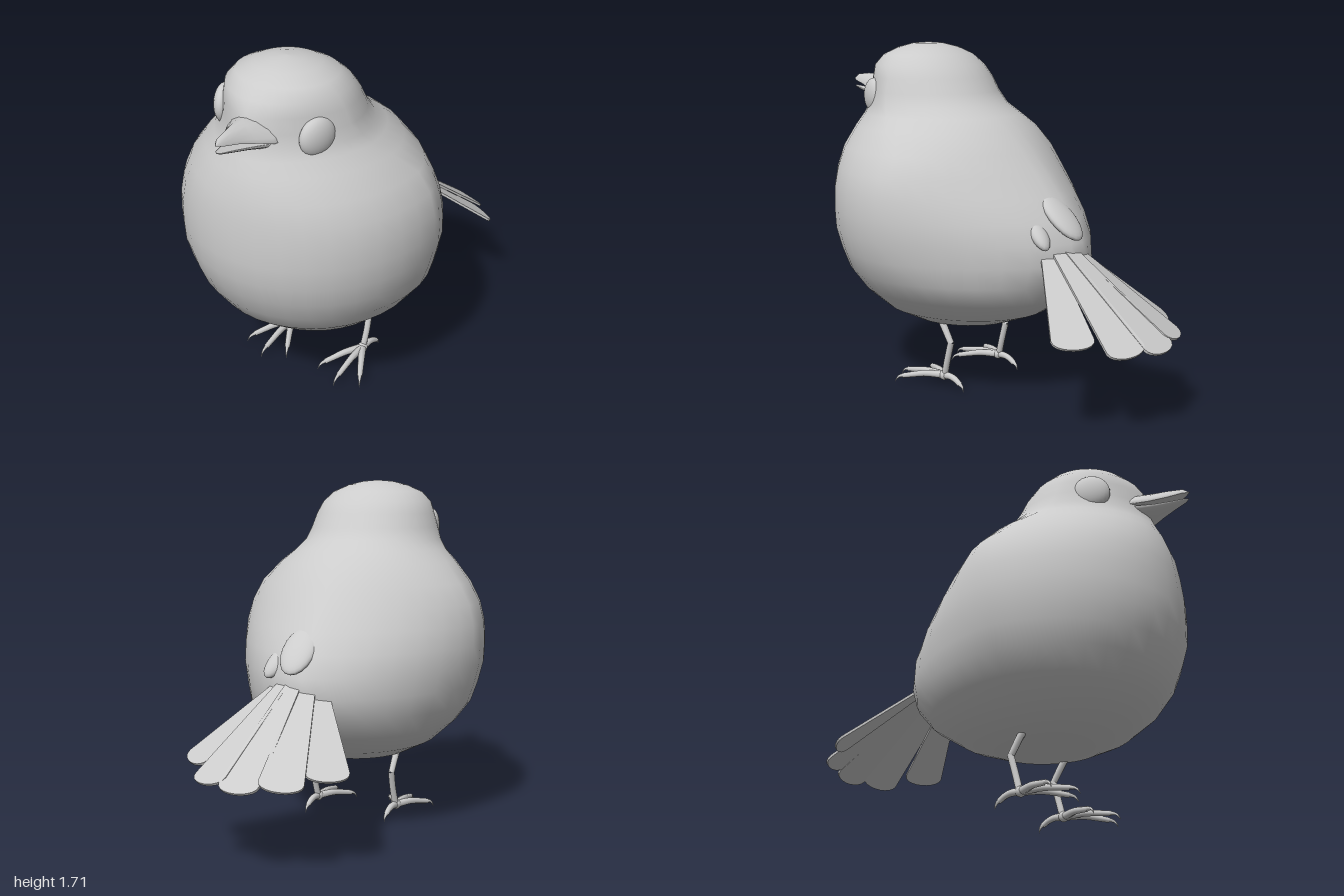
import * as THREE from 'three';

const material = new THREE.MeshStandardMaterial({ color: 0xcccccc });
const thin = new THREE.MeshStandardMaterial({ color: 0xcccccc, side: THREE.DoubleSide });
const V = (x, y, z) => new THREE.Vector3(x, y, z);

function add(parent, name, geometry, mat = material) {
  const mesh = new THREE.Mesh(geometry, mat);
  mesh.name = name;
  parent.add(mesh);
  return mesh;
}

// Skin closed rings of points; rings run counter-clockwise seen from the far end.
function loft(rings) {
  const n = rings[0].length, index = [];
  for (let r = 0; r < rings.length - 1; r++) {
    for (let i = 0; i < n; i++) {
      const j = (i + 1) % n, a = r * n, b = a + n;
      index.push(a + i, a + j, b + i, a + j, b + j, b + i);
    }
  }
  const g = new THREE.BufferGeometry().setFromPoints(rings.flat());
  g.setIndex(index);
  g.computeVertexNormals();
  return g;
}

// Tube along points whose radius runs from r0 to r1.
function taperTube(points, r0, r1, steps = 10, sides = 8) {
  const curve = new THREE.CatmullRomCurve3(points, false, 'centripetal');
  const g = new THREE.TubeGeometry(curve, steps, 1, sides);
  const p = g.attributes.position, v = V(0, 0, 0);
  for (let i = 0; i < p.count; i++) {
    const t = Math.floor(i / (sides + 1)) / steps, c = curve.getPointAt(t);
    v.fromBufferAttribute(p, i).sub(c).multiplyScalar(r0 + (r1 - r0) * t).add(c);
    p.setXYZ(i, v.x, v.y, v.z);
  }
  return g;
}

// Body and head: horizontal slices of height, half width, front z, back z.
function bodyGeometry() {
  const slices = [
    [0.31, 0.001, 0.251, 0.249], [0.316, 0.13, 0.38, 0.1], [0.335, 0.25, 0.48, -0.05],
    [0.4, 0.38, 0.64, -0.22], [0.5, 0.49, 0.765, -0.37], [0.6, 0.565, 0.835, -0.46],
    [0.7, 0.6, 0.875, -0.5], [0.8, 0.625, 0.905, -0.49], [0.9, 0.63, 0.91, -0.44],
    [1.0, 0.625, 0.91, -0.365], [1.1, 0.6, 0.9, -0.285], [1.2, 0.545, 0.885, -0.2],
    [1.3, 0.455, 0.85, -0.11], [1.36, 0.39, 0.82, -0.03], [1.41, 0.355, 0.8, 0.05],
    [1.47, 0.335, 0.79, 0.1], [1.54, 0.312, 0.78, 0.14], [1.6, 0.285, 0.745, 0.19],
    [1.65, 0.235, 0.69, 0.25], [1.685, 0.155, 0.62, 0.32], [1.705, 0.075, 0.55, 0.4],
    [1.71, 0.001, 0.471, 0.469],
  ];
  const sides = 36;
  return loft(slices.map(([y, w, front, back]) => {
    const head = THREE.MathUtils.smoothstep(y, 1.15, 1.47);
    const crown = THREE.MathUtils.smoothstep(y, 1.5, 1.66);
    const rump = 1 - THREE.MathUtils.smoothstep(y, 1.1, 1.4);
    const belly = THREE.MathUtils.smoothstep(y, 0.4, 0.75);
    const zc = 0.25 + 0.2 * head + 0.02 * crown;
    const ring = [];
    for (let i = 0; i < sides; i++) {
      const a = (i / sides) * Math.PI * 2, s = Math.sin(a), c = Math.cos(a);
      // The rump and the face are more pointed than an ellipse.
      const n = c > 0 ? 2 - 0.45 * head * (1 - crown) : 2 - 0.45 * rump * belly;
      const x = w * Math.sign(s) * Math.abs(s) ** (2 / n);
      const k = Math.abs(c) ** (2 / n);
      ring.push(V(x, y, c > 0 ? zc + (front - zc) * k : zc + (back - zc) * k));
    }
    return ring;
  }));
}

// Beak half: sections of z, half width, top y, edge y, bottom y.
function beakGeometry(sections) {
  return loft(sections.map(([z, w, top, edge, bottom]) =>
    Array.from({ length: 16 }, (_, i) => {
      const a = (i / 16) * Math.PI * 2, s = Math.sin(a);
      const rise = s > 0 ? (top - edge) * s ** 1.5 : (bottom - edge) * -s;
      return V(w * Math.cos(a) + 0.03 * (z - 0.7), edge + rise, z);
    })));
}

// Tail feather: tapered thin blade with a rounded end.
function featherGeometry(root, tip, across, halfWidth) {
  const d = tip.clone().sub(root), len = d.length();
  d.normalize();
  const side = across.clone().addScaledVector(d, -across.dot(d)).normalize();
  const normal = side.clone().cross(d);
  const cap = halfWidth * 0.6;
  const shape = new THREE.Shape();
  shape.moveTo(-0.035, 0);
  shape.lineTo(-halfWidth, len - cap);
  shape.bezierCurveTo(-halfWidth, len + 0.01, halfWidth, len + 0.01, halfWidth, len - cap);
  shape.lineTo(0.035, 0);
  const g = new THREE.ExtrudeGeometry(shape, { depth: 0.012, bevelEnabled: false, curveSegments: 10 });
  g.applyMatrix4(new THREE.Matrix4().makeBasis(side, d, normal).setPosition(root));
  return g;
}

function createLeg(x, name) {
  const leg = new THREE.Group();
  leg.name = name;
  add(leg, 'thigh', taperTube([V(0, 0.37, 0.22), V(0.003, 0.3, 0.175), V(0.006, 0.235, 0.135)], 0.019, 0.016));
  add(leg, 'shin', taperTube([V(0.006, 0.245, 0.135), V(0.006, 0.15, 0.16), V(0, 0.06, 0.185)], 0.017, 0.017));
  add(leg, 'ankle', new THREE.SphereGeometry(0.026, 12, 8)).position.set(0, 0.06, 0.19);
  // Three toes forward and one back, each ending in a claw.
  for (const [tx, tz] of [[-0.11, 0.37], [0.005, 0.43], [0.1, 0.38], [0.01, 0.075]]) {
    const dz = tz - 0.19, at = (t, y) => V(tx * t, y, 0.19 + dz * t);
    const end = tz < 0.19 ? 0.035 : 0.042;
    add(leg, 'toe', taperTube([at(0, 0.06), at(0.45, 0.062), at(0.75, 0.052), at(1, end)], 0.02, 0.013));
    add(leg, 'claw', taperTube([at(0.95, end + 0.004), at(1.12, end - 0.008), at(1.2, end - 0.034)], 0.012, 0.001, 6, 6));
  }
  leg.position.x = x;
  return leg;
}

export function createModel() {
  const bird = new THREE.Group();
  bird.name = 'bird';
  add(bird, 'body', bodyGeometry());

  // Eyes: flattened spheres turned slightly forward, the head a little tilted.
  for (const [name, side, x, y, z] of [['leftEye', 1, 0.247, 1.445, 0.615], ['rightEye', -1, -0.252, 1.475, 0.6]]) {
    const eye = add(bird, name, new THREE.SphereGeometry(0.09, 24, 16));
    eye.scale.set(0.5, 1, 1);
    eye.rotation.y = -side * 0.4;
    eye.position.set(x, y, z);
  }

  // Slightly open beak
  const beak = new THREE.Group();
  beak.name = 'beak';
  add(beak, 'upperBeak', beakGeometry([
    [0.7, 0.14, 1.53, 1.438, 1.438], [0.76, 0.128, 1.537, 1.442, 1.445], [0.82, 0.085, 1.537, 1.458, 1.465],
    [0.9, 0.045, 1.536, 1.48, 1.484], [0.97, 0.023, 1.528, 1.495, 1.496], [1.0, 0.002, 1.505, 1.503, 1.501],
  ]), thin);
  add(beak, 'lowerBeak', beakGeometry([
    [0.7, 0.12, 1.435, 1.432, 1.395], [0.77, 0.105, 1.438, 1.436, 1.4], [0.84, 0.068, 1.446, 1.445, 1.42],
    [0.92, 0.036, 1.458, 1.457, 1.44], [0.98, 0.016, 1.467, 1.466, 1.457], [0.995, 0.002, 1.47, 1.469, 1.467],
  ]), thin);
  bird.add(beak);

  // Tail: five fanned feathers, swung a little to the bird's left.
  const tail = new THREE.Group();
  tail.name = 'tail';
  const tips = [V(-0.27, 0.41, -0.81), V(-0.11, 0.385, -0.96), V(0.08, 0.37, -1.0), V(0.26, 0.38, -0.94), V(0.43, 0.42, -0.76)];
  tips.forEach((tip, i) => {
    const u = i - 2;
    const root = V(0.05 + u * 0.05, 0.8 - 0.012 * u * u, -0.4);
    const across = tips[Math.min(i + 1, 4)].clone().sub(tips[Math.max(i - 1, 0)]);
    add(tail, 'tailFeather', featherGeometry(root, tip, across, 0.1), thin);
  });
  bird.add(tail);

  // Covert tufts over the root of the tail
  for (const [x, y, z, length, width, turn] of [
    [0.05, 0.92, -0.405, 0.145, 0.085, 0], [-0.075, 0.86, -0.36, 0.11, 0.05, 0.3], [0.175, 0.86, -0.36, 0.11, 0.05, -0.3],
  ]) {
    const tuft = add(bird, 'tailCovert', new THREE.SphereGeometry(1, 20, 14));
    tuft.scale.set(width, 0.035, length);
    tuft.rotation.set(-0.75, turn, 0);
    tuft.position.set(x, y, z);
  }

  bird.add(createLeg(0.22, 'leftLeg'), createLeg(-0.215, 'rightLeg'));
  return bird;
}
